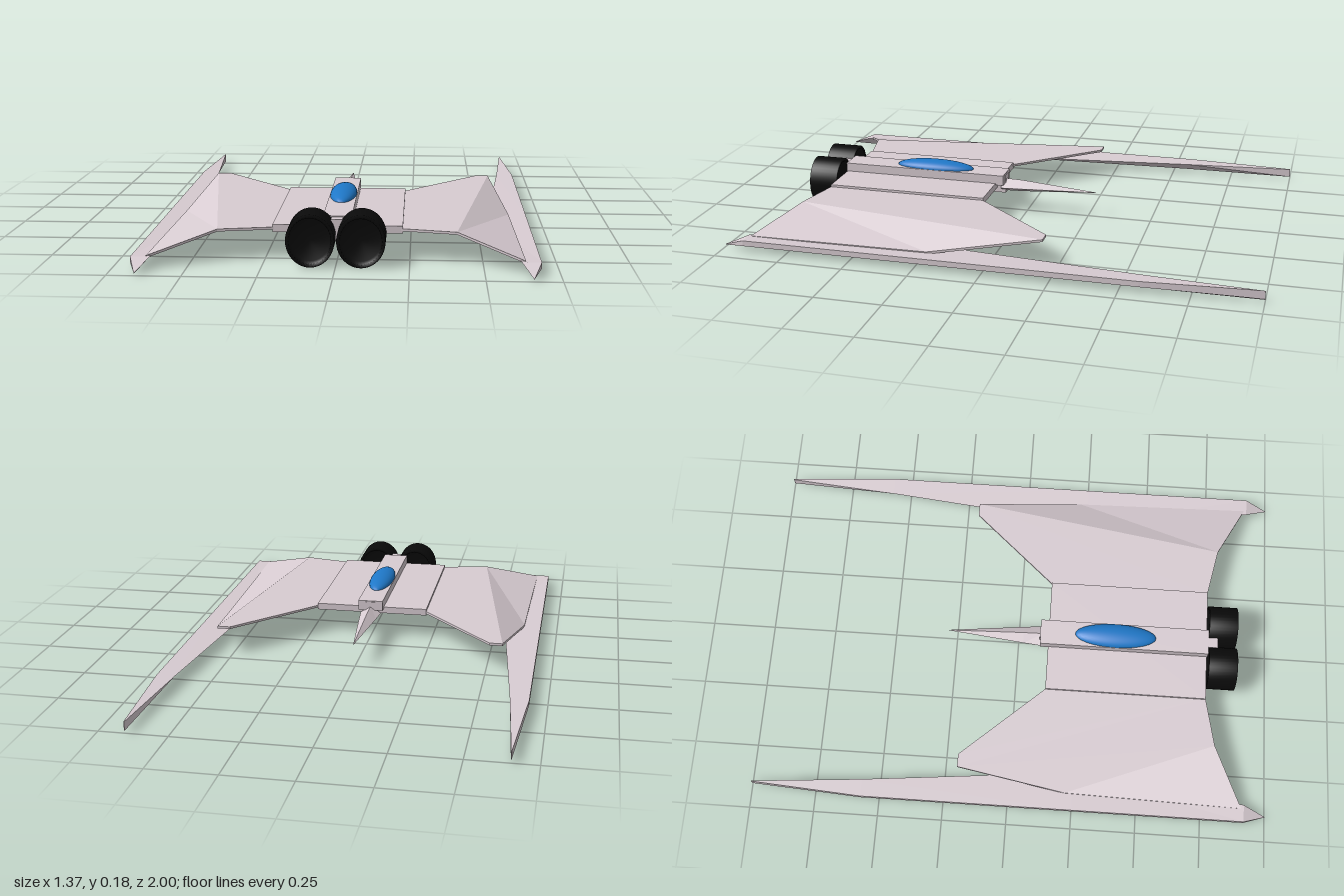
import * as THREE from 'three';

const hull = new THREE.MeshStandardMaterial({ color: 0xd8ccd2, flatShading: true });
const black = new THREE.MeshStandardMaterial({ color: 0x0a0a0a, side: THREE.DoubleSide });
const blue = new THREE.MeshStandardMaterial({ color: 0x1f78c8 });

// Closed solid through matching rings of [x, y, z] corners; faces are turned outward by signed volume
function loft(rings) {
  const tris = [];
  const n = rings[0].length;
  for (let r = 0; r < rings.length - 1; r++) {
    const a = rings[r], b = rings[r + 1];
    for (let i = 0; i < n; i++) {
      const j = (i + 1) % n;
      tris.push([a[i], a[j], b[j]], [a[i], b[j], b[i]]);
    }
  }
  const first = rings[0], last = rings[rings.length - 1];
  for (let i = 1; i < n - 1; i++) {
    tris.push([first[0], first[i + 1], first[i]], [last[0], last[i], last[i + 1]]);
  }
  const v = (p) => new THREE.Vector3(...p);
  const volume = tris.reduce((s, t) => s + v(t[0]).dot(v(t[1]).cross(v(t[2]))), 0);
  if (volume < 0) tris.forEach((t) => t.reverse());
  const geo = new THREE.BufferGeometry();
  geo.setAttribute('position', new THREE.Float32BufferAttribute(tris.flat(2), 3));
  geo.computeVertexNormals();
  return geo;
}

// Thin sheet: a polygon extended straight down
const sheet = (points, t) => loft([points, points.map(([x, y, z]) => [x, y - t, z])]);

export function createModel() {
  const model = new THREE.Group();
  const add = (parent, name, geo, mat, x = 0, y = 0, z = 0) => {
    const mesh = new THREE.Mesh(geo, mat);
    mesh.name = name;
    mesh.position.set(x, y, z);
    parent.add(mesh);
    return mesh;
  };
  const box = (name, w, h, d, x, y, z) => add(model, name, new THREE.BoxGeometry(w, h, d), hull, x, y, z);

  // Central body: flat deck, raised spine and a narrow keel running through both
  box('deck', 0.45, 0.026, 0.63, 0, 0.107, 0.435);
  box('spine', 0.1, 0.04, 0.665, 0, 0.134, 0.4205);
  box('keel', 0.04, 0.075, 0.705, 0, 0.112, 0.4375);

  // Tail spike
  const diamond = (z, w, top, bottom) => [[w, 0.1, z], [0, top, z], [-w, 0.1, z], [0, bottom, z]];
  add(model, 'tailSpike', loft([
    diamond(0.1, 0.042, 0.13, 0.078), diamond(0.02, 0.034, 0.127, 0.08), diamond(-0.28, 0.001, 0.101, 0.099),
  ]), hull);

  // Canopy
  const canopy = add(model, 'canopy', new THREE.SphereGeometry(1, 32, 20), blue, 0, 0.154, 0.385);
  canopy.scale.set(0.049, 0.029, 0.16);

  // Engine drum: outer wall with a shallow hollow at each end
  const drum = new THREE.LatheGeometry([
    [0, -0.04], [0.8, -0.04], [0.86, -0.056], [1, -0.056],
    [1, 0.056], [0.86, 0.056], [0.8, 0.035], [0, 0.035],
  ].map(([r, y]) => new THREE.Vector2(r, y)), 40);
  drum.rotateX(Math.PI / 2);

  for (const [s, side] of [[1, 'left'], [-1, 'right']]) {
    const m = (points) => points.map(([x, y, z]) => [s * x, y, z]);

    const engine = add(model, side + 'Engine', drum, black, s * 0.086, 0.0915, 0.81);
    engine.scale.set(0.083, 0.0915, 1);

    // Wing: level inner panel, then an outer panel folded down to the pod
    const wing = new THREE.Group();
    wing.name = side + 'Wing';
    model.add(wing);
    const foldFront = [0.41, 0.111, 0.79], foldBack = [0.56, 0.111, -0.2];
    add(wing, 'innerPanel', sheet(m([
      [0.22, 0.111, 0.75], foldFront, foldBack, [0.51, 0.111, -0.2], [0.22, 0.111, 0.125],
    ]), 0.009), hull);
    add(wing, 'outerPanel', sheet(m([
      foldFront, [0.635, 0.044, 0.905], [0.62, 0.044, 0.22], foldBack,
    ]), 0.009), hull);

    // Wingtip pod: long blade with a flat top, upright outer face and keeled underside
    const section = (z, outer, inner, innerY, keel) => m([
      [outer, 0.043, z], [inner, innerY, z], [keel, 0.008, z], [outer, 0.022, z],
    ]);
    add(model, side + 'Pod', loft([
      m([[0.656, 0.01, 1], [0.654, 0.01, 1], [0.655, 0.008, 1], [0.656, 0.009, 1]]),
      section(0.915, 0.686, 0.62, 0.043, 0.652),
      section(0.25, 0.686, 0.535, 0.036, 0.652),
      section(-0.57, 0.686, 0.618, 0.04, 0.654),
      m([[0.656, 0.043, -1], [0.654, 0.042, -1], [0.654, 0.009, -1], [0.656, 0.012, -1]]),
    ]), hull);
  }
  return model;
}
